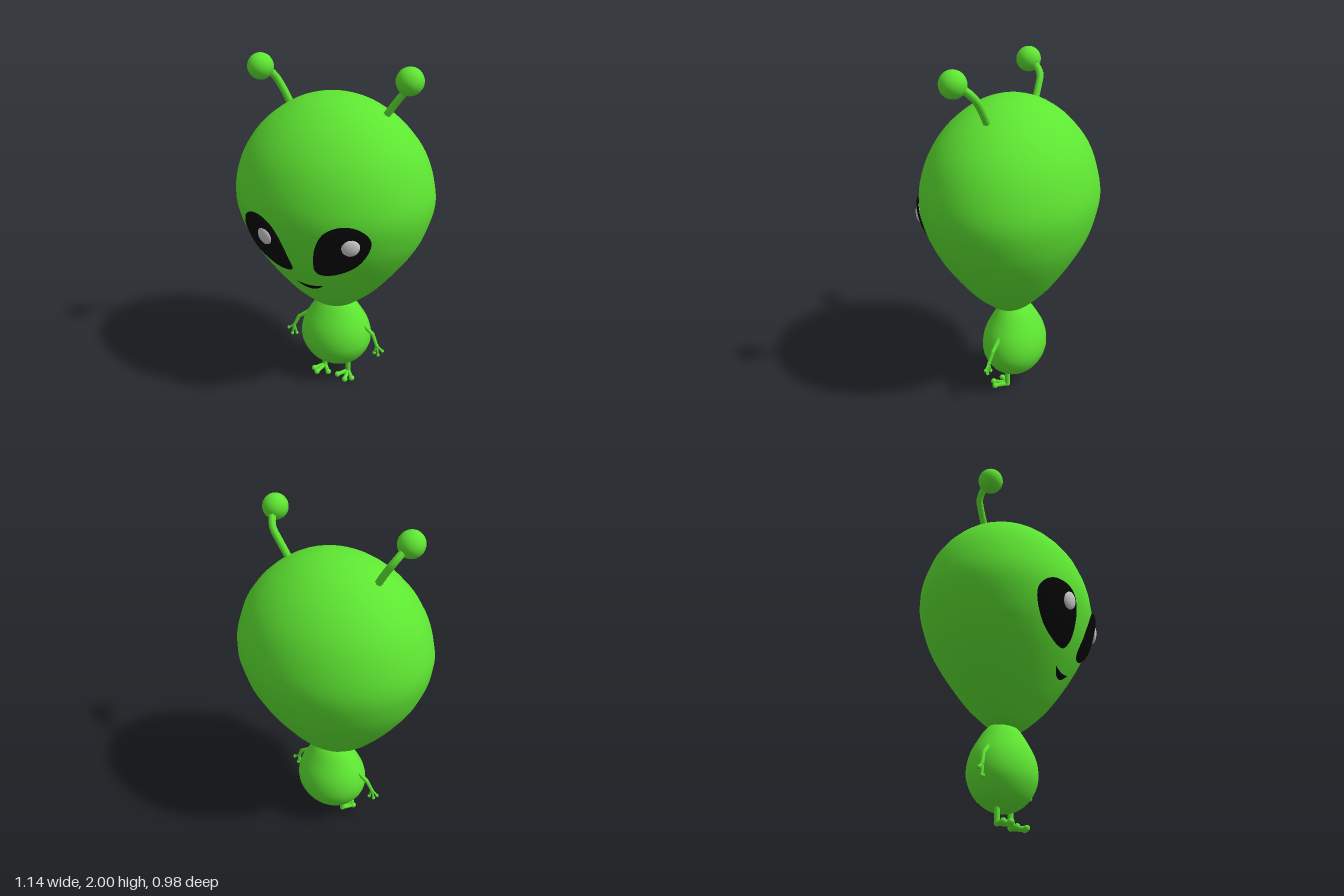
import * as THREE from 'three';
import { ParametricGeometry } from 'three/addons/geometries/ParametricGeometry.js';

const green = new THREE.MeshStandardMaterial({ color: 0x5ee632 });
const greenOpen = new THREE.MeshStandardMaterial({ color: 0x5ee632, side: THREE.DoubleSide });
const black = new THREE.MeshStandardMaterial({ color: 0x050505, side: THREE.DoubleSide });
const grey = new THREE.MeshStandardMaterial({ color: 0xcccccc });

const V = (p) => new THREE.Vector3(...p);
const spline = (pts, n) =>
  new THREE.SplineCurve(pts.map(([r, y]) => new THREE.Vector2(r, y))).getPoints(n)
    .map((p) => p.setX(Math.max(p.x, 0)));

// Head profile (radius, height), bottom to top
const headProfile = spline([
  [0, 0.533], [0.1, 0.547], [0.18, 0.603], [0.27, 0.685], [0.375, 0.81], [0.466, 0.94],
  [0.531, 1.07], [0.57, 1.23], [0.549, 1.38], [0.484, 1.53], [0.372, 1.66], [0.232, 1.755],
  [0.1, 1.8], [0, 1.809],
], 52);
const DEPTH = 0.857, HEAD_Z = -0.01;

function headRadius(y) {
  const i = Math.max(1, headProfile.findIndex((p) => p.y >= y));
  const a = headProfile[i - 1], b = headProfile[i];
  return THREE.MathUtils.lerp(a.x, b.x, (y - a.y) / (b.y - a.y));
}

// Front of the head at (x, y)
function headFront(x, y) {
  return HEAD_Z + DEPTH * Math.sqrt(Math.max(0, headRadius(y) ** 2 - x * x));
}

function add(group, name, geometry, material = green) {
  const mesh = new THREE.Mesh(geometry, material);
  mesh.name = name;
  group.add(mesh);
  return mesh;
}

function ball(group, name, p, r, seg = 12, material = green) {
  const mesh = add(group, name, new THREE.SphereGeometry(r, seg, Math.ceil(seg * 0.7)), material);
  mesh.position.set(...p);
  return mesh;
}

// Straight tapered limb between two points
function limb(group, name, a, b, ra, rb) {
  const d = V(b).sub(V(a));
  const mesh = add(group, name, new THREE.CylinderGeometry(rb, ra, d.length(), 8));
  mesh.position.copy(V(a)).addScaledVector(d, 0.5);
  mesh.quaternion.setFromUnitVectors(new THREE.Vector3(0, 1, 0), d.normalize());
}

// Patch wrapped on the face: at(u, v) gives [x, y, lift]
function facePatch(group, name, at, nu, nv) {
  const geo = new ParametricGeometry((u, v, out) => {
    const [x, y, lift] = at(u, v);
    out.set(x, y, headFront(x, y) + lift);
  }, nu, nv);
  geo.computeVertexNormals();
  add(group, name, geo, black);
}

const eyeOutline = new THREE.CatmullRomCurve3([
  [0.367, 1.165], [0.338, 1.222], [0.28, 1.254], [0.21, 1.25], [0.145, 1.21], [0.1, 1.13],
  [0.075, 1.03], [0.068, 0.95], [0.09, 0.925], [0.145, 0.926], [0.22, 0.955], [0.29, 1.005],
  [0.345, 1.083],
].map(([x, y]) => V([x, y, 0])), true);

export function createModel() {
  const model = new THREE.Group();
  model.name = 'alienFigure';

  const head = add(model, 'head', new THREE.LatheGeometry(headProfile, 32));
  head.scale.z = DEPTH;
  head.position.z = HEAD_Z;

  const body = add(model, 'body', new THREE.LatheGeometry(spline([
    [0, 0.084], [0.08, 0.099], [0.16, 0.151], [0.21, 0.231], [0.22, 0.306], [0.202, 0.386],
    [0.157, 0.466], [0.105, 0.536], [0.05, 0.573], [0, 0.583],
  ], 32), 32));
  body.scale.z = 0.855;
  body.position.z = -0.037;

  // Raised eyes with a rounded rim
  for (const s of [-1, 1]) {
    const dy = s > 0 ? 0.004 : -0.008;
    facePatch(model, s > 0 ? 'leftEye' : 'rightEye', (u, v) => {
      const p = eyeOutline.getPoint(u % 1);
      const x = THREE.MathUtils.lerp(0.21, p.x, v);
      const y = THREE.MathUtils.lerp(1.09, p.y, v) + dy;
      return [s * x, y, 0.002 + 0.025 * Math.sqrt(Math.max(0, 1 - v ** 5))];
    }, 48, 14);
  }

  // Eye glints
  for (const [x, y] of [[-0.19, 1.143], [0.28, 1.152]]) {
    const glint = ball(model, 'eyeGlint', [x, y, headFront(x, y) + 0.018], 1, 16, grey);
    glint.scale.set(0.05, 0.053, 0.022);
    glint.rotation.set(0.1, Math.atan2(x * DEPTH, Math.sqrt(headRadius(y) ** 2 - x * x)), 0);
  }

  // Crescent mouth
  facePatch(model, 'mouth', (u, v) => {
    const t = u * 2 - 1, k = 1 - t * t;
    return [0.082 * t, 0.83 - k * THREE.MathUtils.lerp(0.014, 0.046, v), 0.007];
  }, 20, 4);

  // Antennae bending forward
  for (const [x0, x1] of [[-0.265, -0.39], [0.285, 0.44]]) {
    const at = (t) => THREE.MathUtils.lerp(x0, x1, t);
    const path = new THREE.CatmullRomCurve3([
      [x0, 1.711, -0.024], [at(0.36), 1.791, -0.024], [at(0.68), 1.856, -0.016],
      [at(0.86), 1.898, 0.02], [x1, 1.923, 0.07],
    ].map(V));
    add(model, 'antenna', new THREE.TubeGeometry(path, 10, 0.021, 6), greenOpen);
    ball(model, 'antennaBall', [x1, 1.929, 0.076], 0.071, 24);
  }

  for (const s of [-1, 1]) {
    // Arm with three fingers
    const arm = new THREE.Group();
    arm.name = s > 0 ? 'leftArm' : 'rightArm';
    const shoulder = [s * 0.17, 0.408, -0.028], elbow = [s * 0.25, 0.346, -0.02];
    const wrist = [s * 0.28, 0.281, -0.01];
    limb(arm, 'upperArm', shoulder, elbow, 0.015, 0.012);
    ball(arm, 'elbow', elbow, 0.012, 8);
    limb(arm, 'forearm', elbow, wrist, 0.012, 0.01);
    ball(arm, 'palm', wrist, 0.012, 8);
    for (const tip of [[0.318, 0.252, -0.008], [0.293, 0.216, -0.006], [0.265, 0.222, -0.012]]) {
      const end = [s * tip[0], tip[1], tip[2]];
      limb(arm, 'finger', wrist, end, 0.008, 0.006);
      ball(arm, 'fingertip', end, 0.011, 8);
    }
    model.add(arm);

    // Leg with three toes
    const leg = new THREE.Group();
    leg.name = s > 0 ? 'leftLeg' : 'rightLeg';
    const x = s > 0 ? 0.085 : -0.076, ankle = [x, 0.022, -0.03];
    limb(leg, 'shin', [x, 0.136, -0.03], ankle, 0.016, 0.016);
    ball(leg, 'heel', ankle, 0.017, 8);
    for (const [dx, z] of [[-0.046, 0.03], [s * 0.015, 0.058], [0.05, 0.03]]) {
      const toe = [x + dx, 0.019, z];
      limb(leg, 'toe', ankle, toe, 0.014, 0.012);
      ball(leg, 'toeTip', toe, 0.018, 10);
    }
    model.add(leg);
  }

  return model;
}
